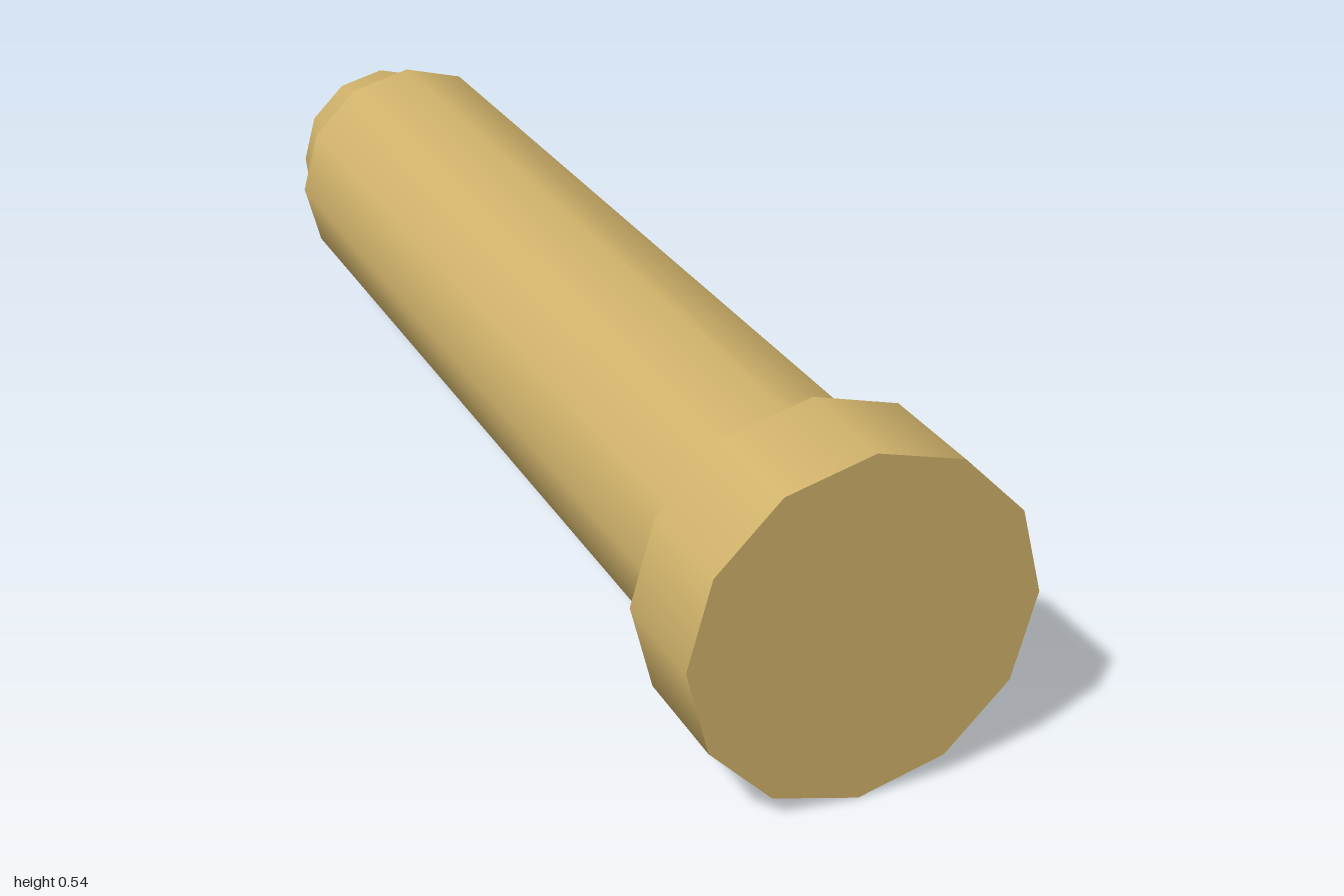
import * as THREE from 'three';

const AXIS_Y = 0.27;
const SIDES = 12;

export function createModel() {
  const model = new THREE.Group();
  model.name = 'pin';
  const brass = new THREE.MeshStandardMaterial({ color: 0xd1b36b });

  // Smooth 12-sided section lying along z, from zBack to zFront
  function addSection(name, rFront, rBack, zFront, zBack) {
    const geometry = new THREE.CylinderGeometry(rFront, rBack, zFront - zBack, SIDES);
    geometry.rotateX(Math.PI / 2);
    const mesh = new THREE.Mesh(geometry, brass);
    mesh.name = name;
    mesh.position.set(0, AXIS_Y, (zFront + zBack) / 2);
    model.add(mesh);
  }

  addSection('head', 0.27, 0.27, 1, 0.82);
  addSection('shaft', 0.215, 0.215, 0.82, -0.84);
  addSection('taperedTip', 0.202, 0.163, -0.84, -1);

  return model;
}
